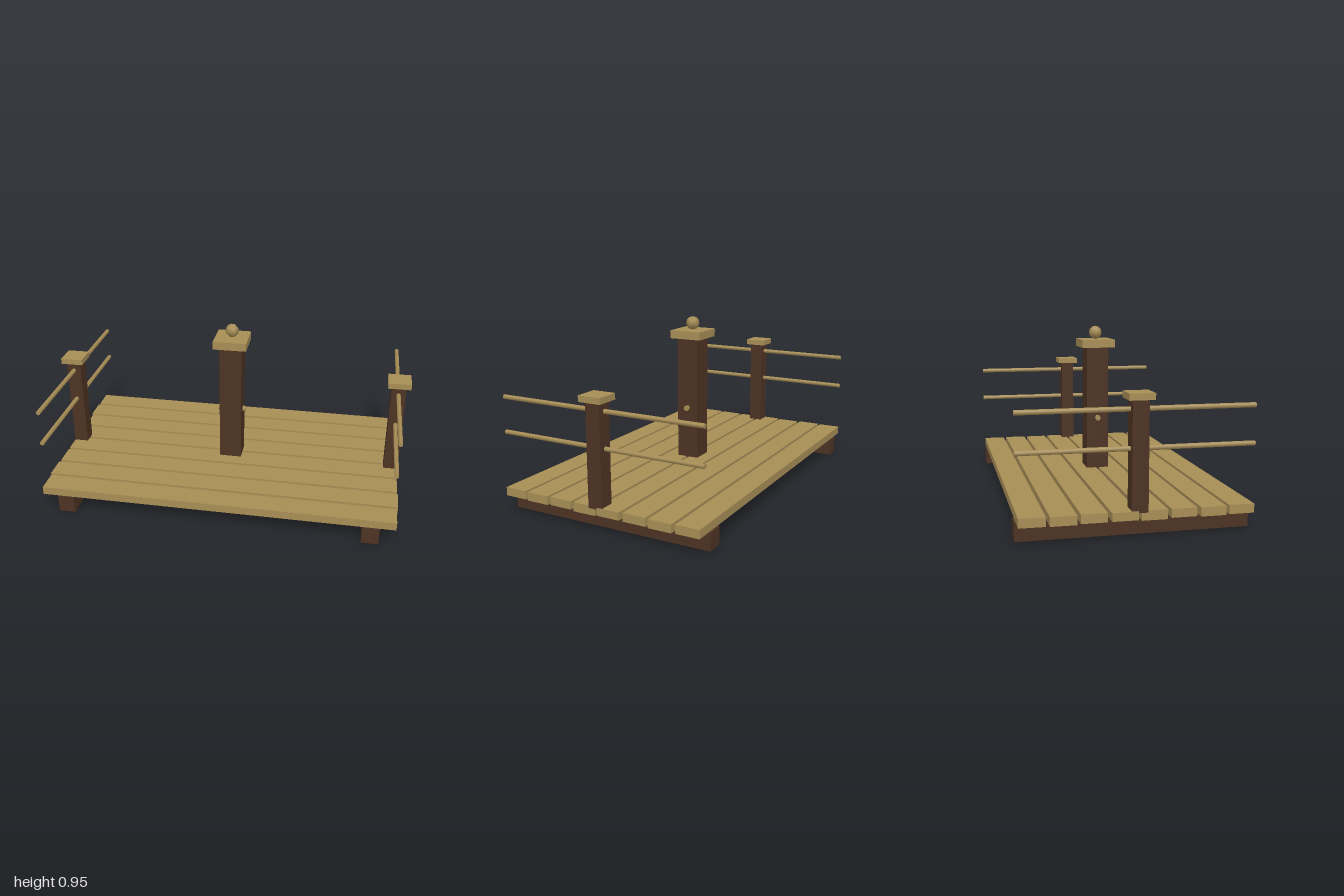
import * as THREE from 'three';

export function createModel() {
  const model = new THREE.Group();
  const lightWood = new THREE.MeshStandardMaterial({ color: 0xa88e56 });
  lightWood.name = 'light wood';
  const darkWood = new THREE.MeshStandardMaterial({ color: 0x4d3323 });
  darkWood.name = 'dark wood';

  const add = (name, geometry, material, x, y, z) => {
    const mesh = new THREE.Mesh(geometry, material);
    mesh.name = name;
    mesh.position.set(x, y, z);
    model.add(mesh);
    return mesh;
  };
  // Box given by its width, depth and bottom and top heights
  const box = (name, material, x, z, width, depth, bottom, top) =>
    add(name, new THREE.BoxGeometry(width, top - bottom, depth), material, x, (bottom + top) / 2, z);

  // Deck planks, back to front: [left end, right end, underside]
  const planks = [
    [-0.98, 0.972, 0.095], [-0.985, 0.977, 0.095], [-0.974, 0.97, 0.095], [-0.985, 0.977, 0.099],
    [-0.975, 0.971, 0.092], [-0.975, 0.971, 0.097], [-0.98, 0.974, 0.095], [-0.971, 0.967, 0.095],
  ];
  planks.forEach(([x0, x1, bottom], i) => {
    const z = (i - 3.5) * 0.1447;
    box('deckPlank', lightWood, (x0 + x1) / 2, z, x1 - x0, 0.127, bottom, 0.14);
  });

  for (const side of [-1, 1]) {
    // Bearer under the deck, side post and its cap
    box('bearer', darkWood, side * 0.836, 0, 0.092, 1.156, 0, 0.094);
    box('sidePost', darkWood, side * 0.936, 0, 0.08, 0.08, 0.13, 0.664);
    box('sidePostCap', lightWood, side * 0.9375, 0, 0.125, 0.125, 0.662, 0.694);
    // Thin rails running through the side post
    for (const y of [0.43, 0.615]) {
      const rail = add('rail', new THREE.CylinderGeometry(0.0125, 0.0125, 1.156, 6), lightWood, side * 0.936, y, 0);
      rail.rotation.x = Math.PI / 2;
    }
  }

  // Centre post with cap, ball finial and cross peg
  box('centrePost', darkWood, 0, 0, 0.125, 0.125, 0.13, 0.836);
  box('centrePostCap', lightWood, 0, 0, 0.186, 0.186, 0.835, 0.88);
  add('finial', new THREE.SphereGeometry(0.038, 6, 6), lightWood, 0, 0.917, 0);
  const peg = add('crossPeg', new THREE.CylinderGeometry(0.016, 0.016, 0.16, 6), lightWood, 0, 0.432, 0);
  peg.rotation.z = Math.PI / 2;

  return model;
}
